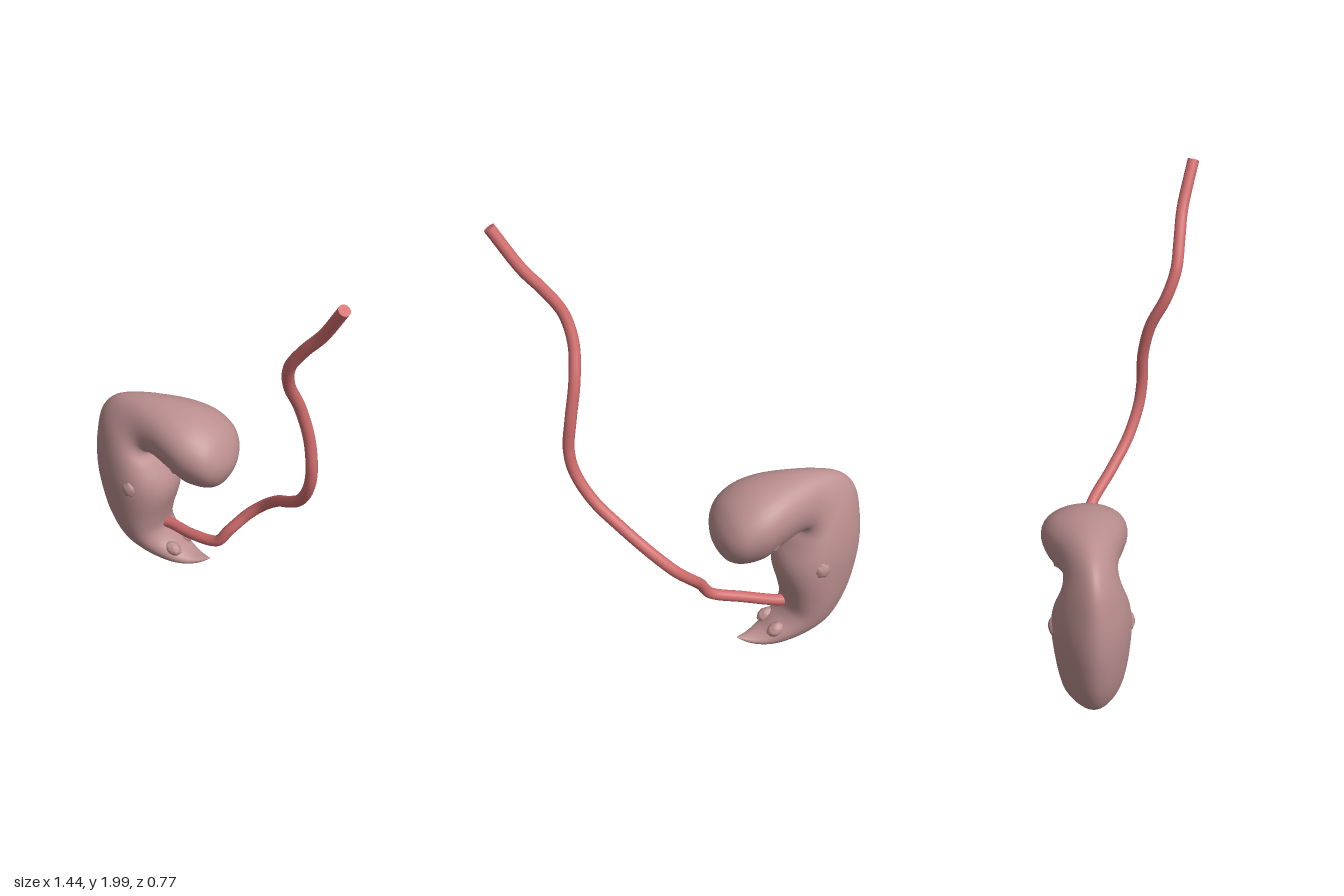
import * as THREE from 'three';

const MID_Z = -0.208;

// Body sections from tail to head: [outer x, outer y, inner x, inner y, half width, skew]
// skew > 0 narrows the section towards the back, skew < 0 towards the belly side
const SECTIONS = [
  [-0.150, 0.064, -0.152, 0.067, 0.004, 0],
  [-0.200, 0.032, -0.220, 0.068, 0.038, 0],
  [-0.280, 0.012, -0.270, 0.085, 0.070, 0.1],
  [-0.380, 0.012, -0.310, 0.120, 0.093, 0.2],
  [-0.500, 0.045, -0.350, 0.160, 0.112, 0.25],
  [-0.600, 0.105, -0.370, 0.210, 0.126, 0.3],
  [-0.670, 0.230, -0.355, 0.290, 0.143, 0.3],
  [-0.708, 0.380, -0.325, 0.400, 0.158, 0.3],
  [-0.720, 0.500, -0.330, 0.480, 0.160, 0.3],
  [-0.715, 0.620, -0.375, 0.560, 0.145, 0.35],
  [-0.690, 0.750, -0.410, 0.600, 0.123, 0.4],
  [-0.625, 0.835, -0.415, 0.615, 0.110, 0.35],
  [-0.520, 0.875, -0.405, 0.612, 0.112, 0.15],
  [-0.400, 0.887, -0.370, 0.590, 0.130, -0.1],
  [-0.280, 0.880, -0.300, 0.545, 0.160, -0.25],
  [-0.180, 0.855, -0.230, 0.508, 0.175, -0.28],
  [-0.100, 0.808, -0.140, 0.510, 0.162, -0.25],
  [-0.055, 0.750, -0.080, 0.540, 0.122, -0.2],
  [-0.034, 0.695, -0.042, 0.600, 0.060, -0.1],
  [-0.029, 0.650, -0.029, 0.648, 0.002, 0],
];

// Catmull-Rom sample of all section values at u in 0..1
function sectionAt(u) {
  const last = SECTIONS.length - 1;
  const f = u * last, i = Math.min(Math.floor(f), last - 1), t = f - i;
  const at = (k) => SECTIONS[Math.max(0, Math.min(last, k))];
  const [a, b, c, d] = [at(i - 1), at(i), at(i + 1), at(i + 2)];
  return b.map((_, k) => 0.5 * (2 * b[k] + (c[k] - a[k]) * t
    + (2 * a[k] - 5 * b[k] + 4 * c[k] - d[k]) * t * t
    + (3 * b[k] - a[k] - 3 * c[k] + d[k]) * t * t * t));
}

// Curled body lofted through the sections
function bodyGeometry(rings = 95, sides = 40) {
  const pos = [], index = [];
  for (let i = 0; i <= rings; i++) {
    const [ox, oy, ix, iy, w, k] = sectionAt(i / rings);
    for (let j = 0; j < sides; j++) {
      const t = (j / sides) * Math.PI * 2, c = Math.cos(t);
      pos.push(
        (ox + ix) / 2 + (ox - ix) / 2 * c,
        (oy + iy) / 2 + (oy - iy) / 2 * c,
        MID_Z + w * Math.sin(t) * (1 - k * c));
      if (i < rings) {
        const a = i * sides + j, b = i * sides + (j + 1) % sides;
        index.push(a, b, a + sides, b, b + sides, a + sides);
      }
    }
  }
  // End caps
  const end = rings * sides;
  for (let j = 1; j < sides - 1; j++) {
    index.push(0, j + 1, j, end, end + j, end + j + 1);
  }
  const g = new THREE.BufferGeometry();
  g.setAttribute('position', new THREE.Float32BufferAttribute(pos, 3));
  g.setIndex(index);
  g.computeVertexNormals();
  return g;
}

// Slightly lumpy ellipsoid for the limb buds
function budGeometry(rx, ry, rz) {
  const g = new THREE.SphereGeometry(1, 24, 16);
  const p = g.attributes.position, v = new THREE.Vector3();
  for (let i = 0; i < p.count; i++) {
    v.fromBufferAttribute(p, i);
    v.multiplyScalar(1 + 0.09 * Math.sin(7 * v.x + 1) * Math.sin(6 * v.y) * Math.cos(5 * v.z));
    p.setXYZ(i, v.x * rx, v.y * ry, v.z * rz);
  }
  g.computeVertexNormals();
  return g;
}

export function createModel() {
  const group = new THREE.Group();
  const skin = new THREE.MeshStandardMaterial({ color: 0xbc8f8f });
  skin.name = 'dusty pink skin';
  const cordRed = new THREE.MeshStandardMaterial({ color: 0xd06c6c });
  cordRed.name = 'cord red';

  const add = (name, geometry, material, x = 0, y = 0, z = 0) => {
    const mesh = new THREE.Mesh(geometry, material);
    mesh.name = name;
    mesh.position.set(x, y, z);
    group.add(mesh);
    return mesh;
  };

  add('body', bodyGeometry(), skin);

  // Paired limb buds and eye swellings
  for (const [side, s] of [['left', 1], ['right', -1]]) {
    add(side + 'ArmBud', budGeometry(0.038, 0.044, 0.032), skin, -0.475, 0.465, MID_Z + s * 0.148);
    const leg = add(side + 'LegBud', budGeometry(0.042, 0.03, 0.03), skin, -0.312, 0.105, MID_Z + s * 0.055);
    leg.rotation.z = -0.4;
    add(side + 'Eye', budGeometry(0.035, 0.035, 0.016), skin, -0.25, 0.64, MID_Z + s * 0.123);
  }

  // Small mouth fold under the head
  add('mouthFold', budGeometry(0.03, 0.016, 0.05), skin, -0.27, 0.535, MID_Z);

  // Winding cord leaving the belly
  const path = [
    [-0.40, 0.205, -0.205], [-0.34, 0.212, -0.195], [-0.20, 0.235, -0.145], [-0.06, 0.275, -0.115],
    [-0.01, 0.345, -0.125], [0.06, 0.43, -0.17], [0.13, 0.5, -0.18], [0.22, 0.59, -0.135],
    [0.32, 0.69, -0.04], [0.41, 0.795, 0.045], [0.47, 0.92, 0.1], [0.487, 1.03, 0.118],
    [0.472, 1.18, 0.12], [0.44, 1.34, 0.148], [0.418, 1.48, 0.21], [0.44, 1.6, 0.255],
    [0.51, 1.71, 0.278], [0.59, 1.81, 0.3], [0.697, 1.988, 0.36],
  ].map((p) => new THREE.Vector3(...p));
  const curve = new THREE.CatmullRomCurve3(path);
  add('cord', new THREE.TubeGeometry(curve, 140, 0.025, 16), cordRed);

  // Flat cut end of the cord
  const cut = add('cordEnd', new THREE.CircleGeometry(0.025, 16), cordRed);
  cut.position.copy(curve.getPointAt(1));
  cut.quaternion.setFromUnitVectors(new THREE.Vector3(0, 0, 1), curve.getTangentAt(1));

  return group;
}
